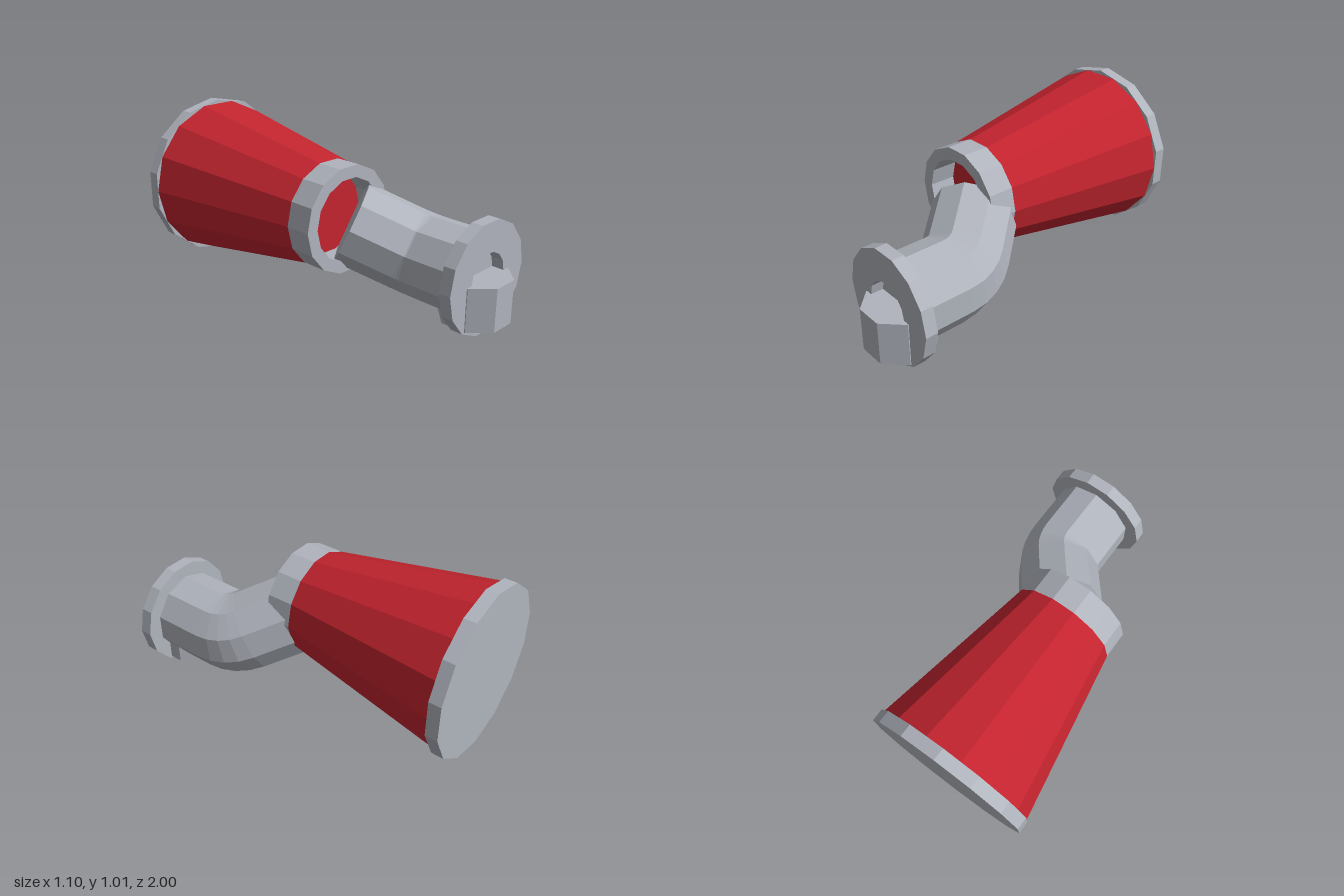
import * as THREE from 'three';

export function createModel() {
  const model = new THREE.Group();
  const grey = new THREE.MeshStandardMaterial({ color: 0xb0b4bd, flatShading: true });
  grey.name = 'grey metal';
  const red = new THREE.MeshStandardMaterial({ color: 0xc4242f, flatShading: true });
  red.name = 'red paint';

  const add = (name, geometry, material, x, y, z) => {
    const mesh = new THREE.Mesh(geometry, material);
    mesh.name = name;
    mesh.position.set(x, y, z);
    model.add(mesh);
  };

  // 14-sided solid lying along z, from z0 (radius r0) to z1 (radius r1)
  const drum = (r0, r1, z0, z1, start) =>
    new THREE.CylinderGeometry(r1, r0, z1 - z0, 14, 1, false, start)
      .rotateX(Math.PI / 2).translate(0, 0, (z0 + z1) / 2);

  // 14-sided collar with a hole, lying along z
  const collar = (inner, outer, z0, z1) => {
    const profile = [[inner, z0], [outer, z0], [outer, z1], [inner, z1], [inner, z0]]
      .map(([r, z]) => new THREE.Vector2(r, z));
    return new THREE.LatheGeometry(profile, 14, Math.PI / 2).rotateX(Math.PI / 2);
  };

  // Ten-sided elbow pipe: a straight run, a four-step bend, then a slanted run
  const elbowPipe = () => {
    const sides = 10, R = 0.24, bendR = 0.25, bend = 0.77, startZ = 0.82, bendZ = 0.53;
    const u = new THREE.Vector3(-0.81, 0.59, 0).normalize();
    const zAxis = new THREE.Vector3(0, 0, 1);
    const stations = [[0, startZ - bendZ]];
    for (let i = 0; i <= 4; i++) stations.push([bend * i / 4, 0]);
    stations.push([bend, -0.31]);

    const positions = [], index = [];
    const place = (x, y, [a, back]) => {
      const inward = u.clone().multiplyScalar(Math.cos(a)).addScaledVector(zAxis, Math.sin(a));
      const forward = u.clone().multiplyScalar(Math.sin(a)).addScaledVector(zAxis, -Math.cos(a));
      const offset = new THREE.Vector3(x, y, 0);
      const along = offset.dot(u);
      const p = offset.addScaledVector(u, bendR - along)
        .addScaledVector(inward, along - bendR)
        .addScaledVector(forward, -back);
      positions.push(p.x, p.y, p.z + bendZ);
    };
    stations.forEach((s, k) => {
      for (let i = 0; i < sides; i++) {
        const t = Math.PI / 2 + i * 2 * Math.PI / sides;
        place(R * Math.cos(t), R * Math.sin(t), s);
        if (k > 0) {
          const j = (i + 1) % sides, a = (k - 1) * sides, b = k * sides;
          index.push(a + i, b + i, a + j, a + j, b + i, b + j);
        }
      }
    });
    // End caps
    const last = (stations.length - 1) * sides;
    for (let i = 1; i < sides - 1; i++) {
      index.push(0, i, i + 1, last, last + i + 1, last + i);
    }
    const g = new THREE.BufferGeometry();
    g.setAttribute('position', new THREE.Float32BufferAttribute(positions, 3));
    g.setIndex(index);
    g.computeVertexNormals();
    return g;
  };

  // Tapered body with its rear plate and front collar
  const bx = -0.08, by = 0.53;
  add('body', drum(0.47, 0.305, -0.93, 0.04, Math.PI / 2), red, bx, by, 0);
  add('rearPlate', drum(0.483, 0.483, -1, -0.93, 0), grey, bx, by, 0);
  add('frontCollar', collar(0.235, 0.305, 0.04, 0.195), grey, bx, by, 0);

  // Pipe with its mouth flange and the eight-sided block set into it
  const px = 0.23, py = 0.312;
  add('elbowPipe', elbowPipe(), grey, px, py, 0);
  add('mouthFlange', collar(0.142, 0.318, 0.82, 0.89), grey, px, py, 0);
  add('mouthBlock', new THREE.CylinderGeometry(0.195, 0.195, 0.248, 8, 1, false, Math.PI / 8),
    grey, px, 0.19, 0.82);

  return model;
}
